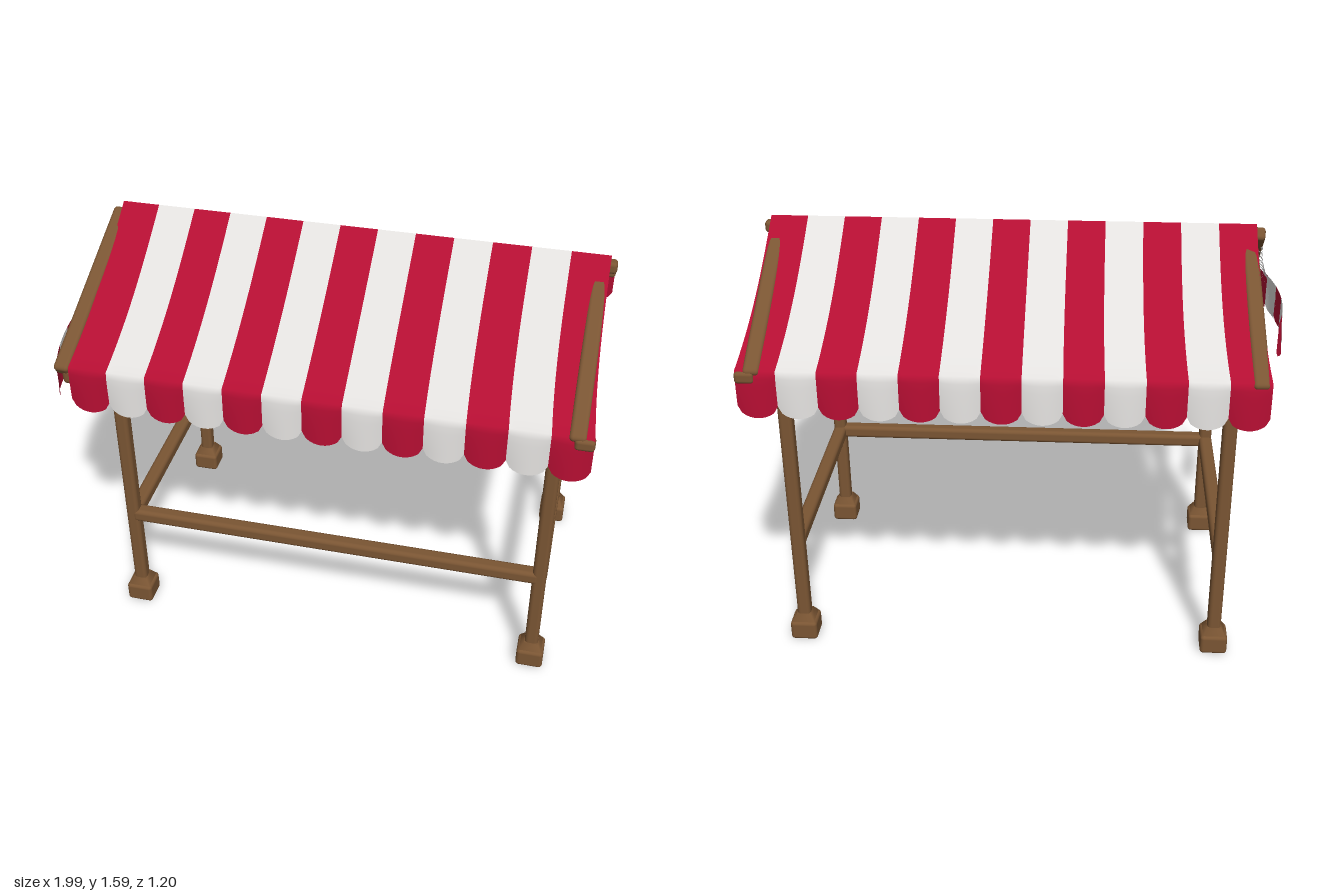
import * as THREE from 'three';
import { RoundedBoxGeometry } from 'three/addons/geometries/RoundedBoxGeometry.js';

const wood = new THREE.MeshStandardMaterial({ color: 0x7a5533 });
const red = new THREE.MeshStandardMaterial({ color: 0xb40e32, side: THREE.DoubleSide });
const white = new THREE.MeshStandardMaterial({ color: 0xe2e0de, side: THREE.DoubleSide });

// Rounded square timber between two points
function beam(name, a, b, w, h = w) {
  const p = new THREE.Vector3(...a), q = new THREE.Vector3(...b);
  const mesh = new THREE.Mesh(new RoundedBoxGeometry(w, h, p.distanceTo(q), 3, Math.min(w, h) * 0.3), wood);
  mesh.position.copy(p).add(q).multiplyScalar(0.5);
  mesh.lookAt(q);
  mesh.name = name;
  return mesh;
}

// Cloth sheet: fn(u, v) returns a point, u and v run from 0 to 1
function cloth(name, material, fn, nu, nv) {
  const pos = [], index = [];
  for (let j = 0; j <= nv; j++) {
    for (let i = 0; i <= nu; i++) pos.push(...fn(i / nu, j / nv));
  }
  for (let j = 0; j < nv; j++) {
    for (let i = 0; i < nu; i++) {
      const a = j * (nu + 1) + i, c = a + nu + 1;
      index.push(a, c, a + 1, a + 1, c, c + 1);
    }
  }
  const g = new THREE.BufferGeometry();
  g.setAttribute('position', new THREE.Float32BufferAttribute(pos, 3));
  g.setIndex(index);
  g.computeVertexNormals();
  const mesh = new THREE.Mesh(g, material);
  mesh.name = name;
  return mesh;
}

const scallop = u => Math.sqrt(Math.max(0, 1 - (2 * u - 1) ** 2));

export function createModel() {
  const model = new THREE.Group();
  const postX = [-0.75, 0.86], postZ = 0.44;

  // Posts on tapered feet
  for (const x of postX) {
    for (const s of [-1, 1]) {
      const z = s * postZ;
      model.add(beam('post', [x, 0.05, z], [x, 1.19, z], 0.052));
      const foot = new THREE.Group();
      foot.name = 'foot';
      const block = new THREE.Mesh(new RoundedBoxGeometry(0.104, 0.08, 0.104, 3, 0.014), wood);
      block.position.y = 0.04;
      const collar = new THREE.Mesh(new THREE.CylinderGeometry(0.038, 0.066, 0.035, 4), wood);
      collar.rotation.y = Math.PI / 4;
      collar.position.y = 0.09;
      foot.add(block, collar);
      foot.position.set(x, 0, z);
      model.add(foot);
    }
    model.add(beam('sideRail', [x, 0.44, -postZ], [x, 0.44, postZ], 0.055));
  }
  model.add(beam('frontRail', [postX[0], 0.445, postZ], [postX[1], 0.445, postZ], 0.055));

  // Roof frame: gable triangles, eave beams and ridge
  for (const s of [-1, 1]) {
    const leftEnd = [0.93, 1.205, s * 0.585];
    const rightEnd = [s > 0 ? -0.895 : -0.83, 1.2, s * 0.585];
    model.add(beam('leftRafter', [0.93, 1.555, 0], leftEnd, 0.06, 0.05));
    model.add(beam('rightRafter', [s > 0 ? -0.845 : -0.81, 1.555, 0], rightEnd, 0.06, 0.05));
    model.add(beam('eaveBeam', [-0.84, 1.185, s * 0.5], [0.95, 1.185, s * 0.5], 0.05));
    model.add(beam('cornerPeg', [0.92, 1.2, s * 0.575], [0.99, 1.2, s * 0.575], 0.045));
  }
  model.add(beam('leftTieBeam', [0.93, 1.178, -0.585], [0.93, 1.178, 0.585], 0.06, 0.065));
  model.add(beam('rightTieBeam', [-0.82, 1.178, -0.585], [-0.87, 1.178, 0.585], 0.06, 0.065));
  model.add(beam('ridgeBeam', [-0.82, 1.548, 0], [0.985, 1.548, 0], 0.045));

  // Striped canopy: slope for v < 0.7, then a hanging scalloped valance
  const count = 13, x0 = -0.84, width = 1.8 / count;
  for (let k = 0; k < count; k++) {
    for (const s of [-1, 1]) {
      const stripe = (u, v) => {
        const flat = x0 + (k + u) * width;
        const t = Math.min(1, v / 0.7);
        const x = 0.06 + (flat - 0.06) * (1 + 0.03 * t ** 3);
        if (v <= 0.7) return [x, 1.59 - 0.365 * t - 0.008 * Math.sin(Math.PI * t), s * 0.585 * t];
        const d = (v - 0.7) / 0.3;
        const bottom = 1.092 - 0.042 * scallop(u);
        const bulge = 0.012 * Math.sin(Math.PI * u) * d;
        return [x, 1.225 + (bottom - 1.225) * d, s * (0.585 + 0.012 * Math.sqrt(d) + bulge - 0.008 * d)];
      };
      model.add(cloth(s > 0 ? 'frontCanopyStripe' : 'backCanopyStripe', k % 2 ? white : red, stripe, 10, 20));
    }
  }

  // Loose scalloped valance bowing out beyond the right gable
  const bow = z => {
    const t = (0.57 - z) / 0.61;
    return -0.92 - 0.03 * t - 0.2 * t * (1 - t);
  };
  for (let k = 0; k < 5; k++) {
    model.add(cloth('gableValanceStripe', k % 2 ? white : red, (u, v) => {
      const z = 0.57 - (k + u) * 0.122;
      const bottom = 1.09 - 0.03 * scallop(u);
      return [bow(z) - 0.012 * Math.sin(Math.PI * u) * v, 1.215 + (bottom - 1.215) * v, z];
    }, 8, 4));
  }

  // Torn gable cloth: thin curved shreds
  for (let k = 0; k < 9; k++) {
    const y = 1.225 + k * 0.028, span = (1.55 - y) / 0.66;
    const x = -0.86 - 0.08 * (1 - k / 9) ** 2;
    model.add(cloth('gableShred', white, (u, v) => [
      x - 0.02 * Math.sin(Math.PI * u),
      y + 0.012 * Math.sin(Math.PI * u) + 0.007 * (v - 0.5) * Math.sin(Math.PI * u),
      0.02 + u * span * 0.85,
    ], 10, 1));
  }
  return model;
}
